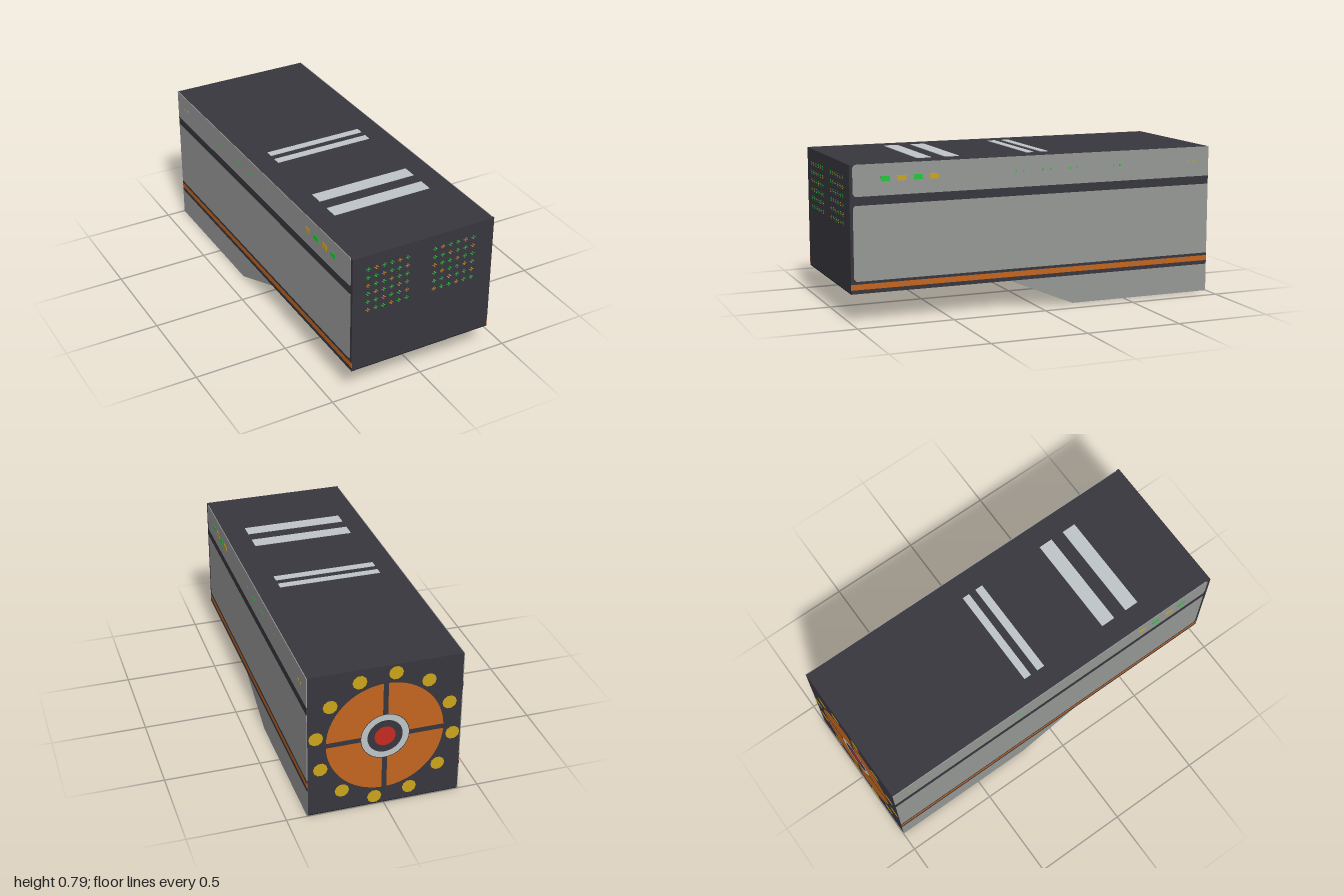
import * as THREE from 'three';
import { mergeGeometries } from 'three/addons/utils/BufferGeometryUtils.js';

const mat = (name, color) => new THREE.MeshStandardMaterial({ name, color });

// Extrude a (z, y) outline between two x positions
function slab(points, x0, x1) {
  const shape = new THREE.Shape(points.map(([z, y]) => new THREE.Vector2(z, y)));
  const g = new THREE.ExtrudeGeometry(shape, { depth: x1 - x0, bevelEnabled: false });
  return g.rotateY(-Math.PI / 2).translate(x1, 0, 0);
}

const box = (w, h, d, x, y, z) => new THREE.BoxGeometry(w, h, d).translate(x, y, z);

// Quarter of a ring with straight, parallel gaps to its neighbours
function quarter(inner, outer, halfGap) {
  const a = Math.asin(halfGap / outer), b = Math.asin(halfGap / inner);
  const s = new THREE.Shape();
  s.absarc(0, 0, outer, a, Math.PI / 2 - a, false);
  s.absarc(0, 0, inner, Math.PI / 2 - b, b, true);
  return new THREE.ShapeGeometry(s, 16);
}

export function createModel() {
  const model = new THREE.Group();
  model.name = 'cargoModule';
  const dark = mat('darkHull', 0x38363e);
  const grey = mat('greyPanel', 0x969896);
  const black = mat('blackUnderside', 0x18181a);
  const orange = mat('orange', 0xc3651f);
  const yellow = mat('yellow', 0xcaa51a);
  const green = mat('greenLight', 0x22c83a);
  const amber = mat('amberLight', 0xcc8a24);
  const pale = mat('paleGrey', 0xbfc5c7);
  const red = mat('redCore', 0xc42a22);

  const add = (name, geometry, material, parent = model) => {
    const m = new THREE.Mesh(geometry, material);
    m.name = name;
    parent.add(m);
    return m;
  };

  const W = 0.395, SKIN = 0.391, TOP = 0.79, BACK = -0.997, FRONT = 0.998;

  // Hull with a deeper belly towards the back
  add('hull', slab([[BACK, 0.004], [-0.2, 0.004], [0.155, 0.152], [FRONT, 0.152],
    [FRONT, TOP], [BACK, TOP]], -SKIN, SKIN), dark);
  add('underside', slab([[BACK, 0], [-0.2, 0], [0.155, 0.148], [FRONT, 0.148],
    [FRONT, 0.152], [0.155, 0.152], [-0.2, 0.004], [BACK, 0.004]], -SKIN, SKIN), black);

  // Side panels, stripes and lights, the same on both sides
  const panel = (y0, y1) => [[BACK, y0], [0.97, y0], [0.982, y0 + 0.015],
    [0.982, y1 - 0.015], [0.97, y1], [BACK, y1]];
  for (const [side, s] of [['left', 1], ['right', -1]]) {
    const g = new THREE.Group();
    g.name = side + 'Side';
    model.add(g);
    const x0 = s > 0 ? SKIN : -W, x1 = s > 0 ? W : -SKIN;
    const strip = (y0, y1, z1 = FRONT) => slab([[BACK, y0], [z1, y0], [z1, y1], [BACK, y1]], x0, x1);
    add('upperPanel', slab(panel(0.632, TOP), x0, x1), grey, g);
    add('middlePanel', slab(panel(0.21, 0.588), x0, x1), grey, g);
    add('bellyPanel', slab([[BACK, 0], [-0.2, 0], [0.155, 0.148], [BACK, 0.148]], x0, x1), grey, g);
    add('darkBand', strip(0.588, 0.632), dark, g);
    add('lowerBand', strip(0.148, 0.168), dark, g);
    add('orangeStripe', strip(0.168, 0.196), orange, g);
    add('stripeBorder', strip(0.196, 0.21), dark, g);
    add('frontTrim', slab([[0.982, 0.21], [FRONT, 0.21], [FRONT, TOP], [0.982, TOP]], x0, x1), dark, g);
    [0.815, 0.73, 0.645, 0.56].forEach((z, i) =>
      add('sideLight', box(0.003, 0.026, 0.046, s * (W + 0.0005), 0.715, z), i % 2 ? yellow : green, g));
    // Faint indicator dots further back
    [0.1, -0.05, -0.2, -0.45, -0.89].forEach((z, i) => {
      for (const dz of [-0.02, 0.02])
        add('indicatorDot', box(0.003, 0.01, 0.008, s * (W + 0.0005), 0.715, z + dz),
          i === 4 ? yellow : green, g);
    });
  }

  // Pale bars across the roof
  for (const [z0, z1] of [[-0.11, -0.07], [-0.03, 0.013], [0.383, 0.46], [0.533, 0.61]])
    add('roofBar', box(0.545, 0.004, z1 - z0, -0.003, TOP + 0.001, (z0 + z1) / 2), pale);

  // Two grids of small front lights
  const lights = { green: [], amber: [] };
  for (const start of [-0.31, 0.061])
    for (let r = 0; r < 6; r++)
      for (let c = 0; c < 6; c++) {
        const x = start + c * 0.0433, y = 0.714 - r * 0.046;
        const list = (c - r + 5) % 3 === 0 ? lights.amber : lights.green;
        list.push(box(0.024, 0.003, 0.002, x, y, FRONT + 0.001));
        for (const dy of [-0.008, 0.008])
          list.push(box(0.008, 0.003, 0.002, x, y + dy, FRONT + 0.001));
      }
  add('greenFrontLights', mergeGeometries(lights.green), green);
  add('amberFrontLights', mergeGeometries(lights.amber), amber);

  // Rear hatch: four orange quarters, pale ring, red core, yellow pads
  const hatch = new THREE.Group();
  hatch.name = 'rearHatch';
  hatch.position.set(0, 0.395, BACK - 0.003);
  hatch.rotation.y = Math.PI;
  model.add(hatch);
  for (let i = 0; i < 4; i++)
    add('hatchQuarter', quarter(0.125, 0.3, 0.013).rotateZ(i * Math.PI / 2), orange, hatch);
  add('hatchRing', new THREE.RingGeometry(0.09, 0.122, 40), pale, hatch);
  add('hatchCore', new THREE.CircleGeometry(0.054, 24), red, hatch);
  for (let i = 0; i < 12; i++) {
    const a = THREE.MathUtils.degToRad(22 + i * 30);
    const pad = add('hatchPad', new THREE.CircleGeometry(0.037, 10), yellow, hatch);
    pad.position.set(0.353 * Math.cos(a), 0.353 * Math.sin(a), 0);
  }

  // Slanted warning dashes under the front edge, short ones under the back edge
  const dashes = [];
  for (let i = 0; i < 11; i++) {
    const x = -0.35 + i * 0.07;
    dashes.push(box(0.028, 0.002, 0.085, 0, 0, 0).rotateY(0.35).translate(x, 0.1475, 0.945));
    dashes.push(box(0.03, 0.002, 0.02, x, 0.0005, BACK + 0.012));
  }
  add('warningDashes', mergeGeometries(dashes), yellow);

  return model;
}
